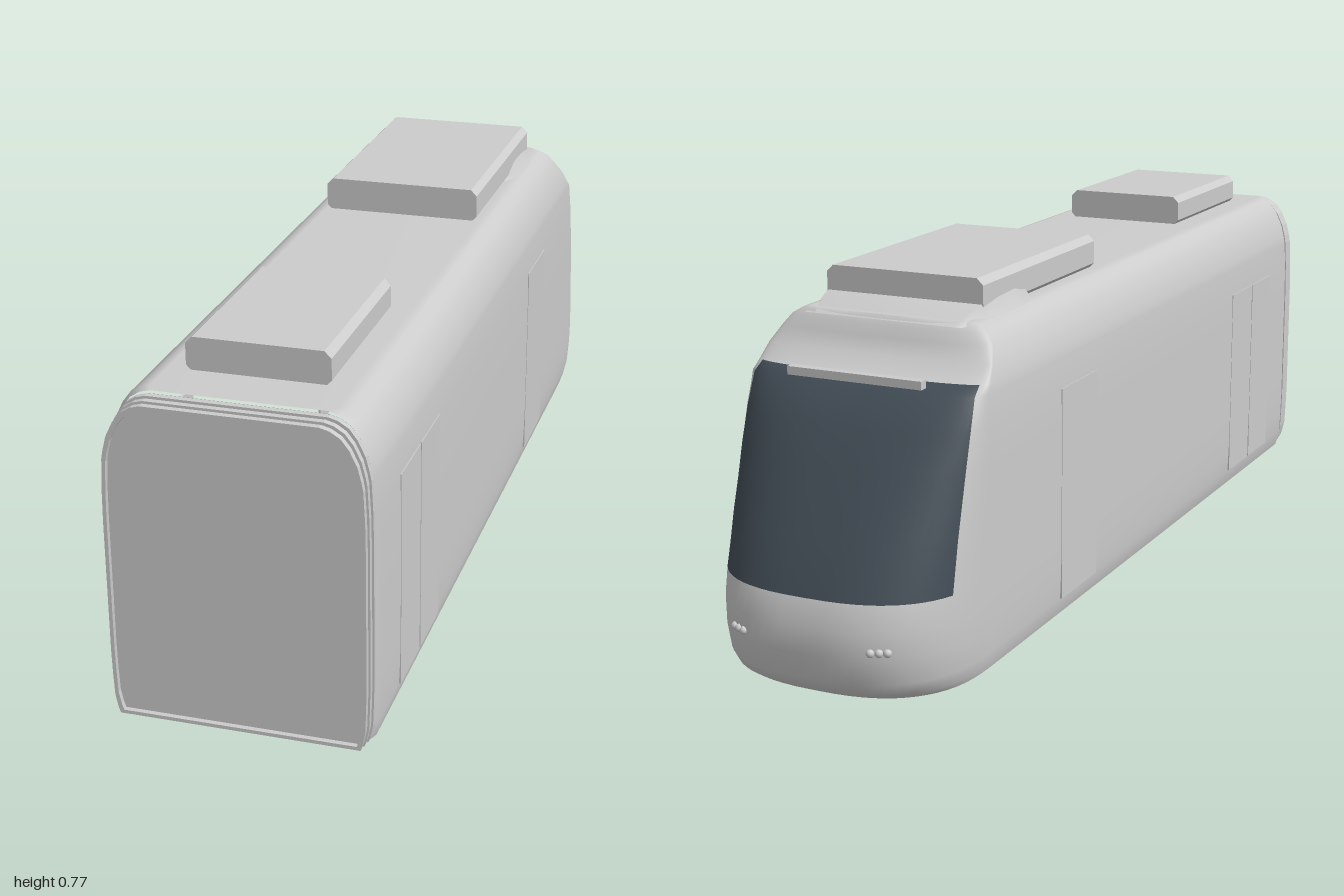
import * as THREE from 'three';

// Body profile by height: y, half width, z where the nose curve starts, z of nose tip
const ROWS = [
  [0.062, 0.238, -0.72, -0.955], [0.075, 0.242, -0.73, -0.975], [0.1, 0.247, -0.74, -0.99],
  [0.15, 0.249, -0.75, -1], [0.2, 0.25, -0.75, -1], [0.25, 0.25, -0.75, -0.985],
  [0.347, 0.25, -0.75, -0.94], [0.464, 0.25, -0.745, -0.877], [0.53, 0.249, -0.74, -0.838],
  [0.59, 0.246, -0.735, -0.795], [0.607, 0.243, -0.72, -0.76], [0.635, 0.236, -0.7, -0.715],
  [0.665, 0.222, -0.67, -0.7], [0.685, 0.207, -0.66, -0.69], [0.697, 0.188, -0.65, -0.68],
  [0.702, 0.17, -0.65, -0.675],
];
const ARC = 32, GLASS_ROWS = [5, 10], GLASS_SKIP = 4;

// Point on the rounded nose of a row, a = 0 (left) to PI (right)
function nosePoint([y, w, zs, zf], a) {
  const c = Math.cos(a), s = Math.max(0, Math.sin(a)), e = 2 / 2.6;
  return [w * Math.sign(c) * Math.abs(c) ** e, y, zs + (zf - zs) * s ** e];
}

function bodyRing(row) {
  const [y, w] = row;
  const pts = [[w - 0.008, y, 0.95], [w, y, 0.93]];
  for (let i = 0; i <= ARC; i++) pts.push(nosePoint(row, Math.PI * i / ARC));
  pts.push([-w, y, 0.93], [-w + 0.008, y, 0.95]);
  return pts;
}

// Horizontal rings joined upwards, with the windscreen as a second group
function bodyGeometry() {
  const rings = ROWS.map(bodyRing), n = rings[0].length, paint = [], glass = [];
  const pos = [...rings, rings[0]].flat(2);
  for (let j = 0; j < rings.length - 1; j++) {
    for (let i = 0; i < n - 1; i++) {
      const a = j * n + i, k = i - 2;
      const isGlass = j >= GLASS_ROWS[0] && j < GLASS_ROWS[1] && k >= GLASS_SKIP && k < ARC - GLASS_SKIP;
      (isGlass ? glass : paint).push(a, a + 1, a + n + 1, a, a + n + 1, a + n);
    }
  }
  // roof and floor, as strips across the width
  const roof = (rings.length - 1) * n, floor = rings.length * n;
  for (let i = 0; i < n / 2 - 1; i++) {
    const m = n - 1 - i;
    paint.push(roof + i, roof + i + 1, roof + m - 1, roof + i, roof + m - 1, roof + m);
    paint.push(floor + i, floor + m - 1, floor + i + 1, floor + i, floor + m, floor + m - 1);
  }
  const g = new THREE.BufferGeometry();
  g.setAttribute('position', new THREE.Float32BufferAttribute(pos, 3));
  g.setIndex([...paint, ...glass]);
  g.addGroup(0, paint.length, 0);
  g.addGroup(paint.length, glass.length, 1);
  g.computeVertexNormals();
  return g;
}

// Body cross-section, drawn in by a margin
function sectionPoints(inset) {
  const half = ROWS.map(([y, w]) => new THREE.Vector2(w - inset, 0.382 + (y - 0.382) * (1 - inset / 0.32)));
  return [...half, ...half.map(p => new THREE.Vector2(-p.x, p.y)).reverse()];
}

// Roof unit with cut corners, running along z
function roofBox(halfWidth, top, z0, z1) {
  const c = 0.013, b = 0.698;
  const right = [[halfWidth - c, b], [halfWidth, b + c], [halfWidth, top - c], [halfWidth - c, top]];
  const pts = [...right, ...right.map(([x, y]) => [-x, y]).reverse()];
  const shape = new THREE.Shape(pts.map(p => new THREE.Vector2(...p)));
  return new THREE.ExtrudeGeometry(shape, { depth: z1 - z0, bevelEnabled: false }).translate(0, 0, z0);
}

// Low sloping fairing ahead of the large roof unit
function fairingGeometry() {
  const stations = [[-0.37, 0.699, 0.165], [-0.42, 0.722, 0.184], [-0.47, 0.73, 0.19],
    [-0.54, 0.727, 0.19], [-0.61, 0.72, 0.183], [-0.685, 0.694, 0.165]];
  const pos = [], idx = [];
  stations.forEach(([z, y, w]) => {
    const t = Math.min(w - 0.02, 0.165);
    pos.push(w, 0.694, z, t, y, z, -t, y, z, -w, 0.694, z);
  });
  for (let j = 0; j < stations.length - 1; j++) {
    for (let i = 0; i < 3; i++) {
      const a = j * 4 + i;
      idx.push(a, a + 4, a + 5, a, a + 5, a + 1);
    }
  }
  const g = new THREE.BufferGeometry();
  g.setAttribute('position', new THREE.Float32BufferAttribute(pos, 3));
  g.setIndex(idx);
  g.computeVertexNormals();
  return g;
}

export function createModel() {
  const model = new THREE.Group();
  const paint = new THREE.MeshStandardMaterial({ name: 'lightGrey', color: 0xcccccc });
  const glass = new THREE.MeshStandardMaterial({ name: 'darkGlass', color: 0x434e57 });

  function add(name, geometry, x = 0, y = 0, z = 0, material = paint) {
    const mesh = new THREE.Mesh(geometry, material);
    mesh.name = name;
    mesh.position.set(x, y, z);
    model.add(mesh);
    return mesh;
  }

  add('body', bodyGeometry(), 0, 0, 0, [paint, glass]);

  // Gangway end: wall, recessed panel and ribbed bellows
  add('endWall', new THREE.ShapeGeometry(new THREE.Shape(sectionPoints(0.006))), 0, 0, 0.949);
  add('gangwayPanel', new THREE.ExtrudeGeometry(new THREE.Shape(sectionPoints(0.014)),
    { depth: 0.045, bevelEnabled: false }), 0, 0, 0.945);
  for (let i = 0; i < 3; i++) {
    const rib = new THREE.Shape(sectionPoints(0.005 + i * 0.002));
    rib.holes.push(new THREE.Path(sectionPoints(0.016)));
    add('bellowsRib', new THREE.ExtrudeGeometry(rib, { depth: 0.012, bevelEnabled: false }), 0, 0, 0.952 + i * 0.018);
  }

  // Roof equipment
  add('largeRoofUnit', roofBox(0.167, 0.77, -0.6, -0.09));
  add('smallRoofUnit', roofBox(0.135, 0.765, 0.47, 0.845));
  add('roofFairing', fairingGeometry());

  // Bar above the windscreen
  add('windscreenBar', new THREE.BoxGeometry(0.28, 0.016, 0.018), 0, 0.608, -0.785);

  // Door leaves, nearly flush with the sides
  for (const side of [-1, 1]) {
    for (const [z0, z1] of [[0.54, 0.672], [0.678, 0.81], [-0.43, -0.26]]) {
      add('doorLeaf', new THREE.BoxGeometry(0.005, 0.43, z1 - z0), side * 0.2485, 0.315, (z0 + z1) / 2);
    }
    // Headlight clusters, three lamps each
    for (const a of [0.98, 1.05, 1.12]) {
      const [x, y, z] = nosePoint(ROWS[3], a);
      add('headlight', new THREE.SphereGeometry(0.008, 12, 8), side * x, y + 0.015, z);
    }
    // Flanged wheels
    for (const z of [0.355, -0.025]) {
      const tread = new THREE.CylinderGeometry(0.056, 0.058, 0.022, 32).rotateZ(Math.PI / 2);
      add('wheel', tread, side * 0.16, 0.064, z);
      const flange = new THREE.CylinderGeometry(0.063, 0.063, 0.007, 32).rotateZ(Math.PI / 2);
      add('wheelFlange', flange, side * 0.154, 0.064, z);
    }
  }
  add('bogiePlate', new THREE.BoxGeometry(0.3, 0.012, 0.38), 0, 0.062, 0.165);
  return model;
}
